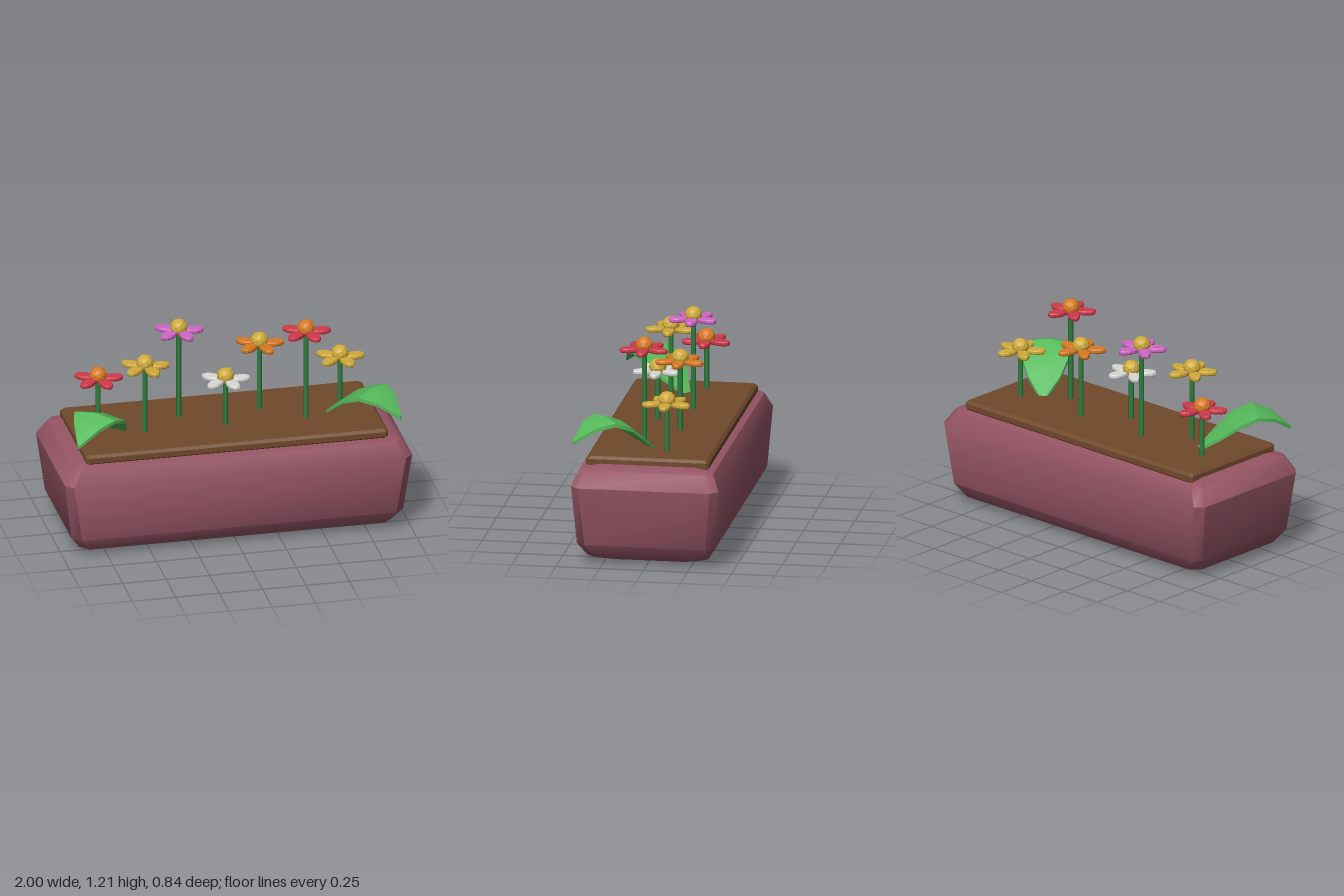
import * as THREE from 'three';
import { toCreasedNormals } from 'three/addons/utils/BufferGeometryUtils.js';

const paint = (name, color, flatShading = false) => {
  const m = new THREE.MeshStandardMaterial({ color, flatShading });
  m.name = name;
  return m;
};

// Closed solid through a list of rings with equal point counts
function loft(rings, crease) {
  const n = rings[0].length, last = (rings.length - 1) * n, index = [];
  for (let r = 0; r < rings.length - 1; r++) {
    for (let i = 0; i < n; i++) {
      const a = r * n + i, b = r * n + (i + 1) % n;
      index.push(a, a + n, b, b, a + n, b + n);
    }
  }
  for (let i = 1; i < n - 1; i++) {
    index.push(0, i, i + 1, last, last + i + 1, last + i);
  }
  const g = new THREE.BufferGeometry();
  g.setAttribute('position', new THREE.Float32BufferAttribute(rings.flat(2), 3));
  g.setIndex(index);
  return toCreasedNormals(g, crease);
}

// Horizontal rectangle with cut corners
const cutRect = ([y, x, z, c]) => [
  [x, y, -z + c], [x, y, z - c], [x - c, y, z], [-x + c, y, z],
  [-x, y, z - c], [-x, y, -z + c], [-x + c, y, -z], [x - c, y, -z],
];

export function createModel() {
  const group = new THREE.Group();
  group.name = 'flowerBox';
  const mats = {
    pot: paint('plum clay', 0x965565),
    soil: paint('brown soil', 0x70492b),
    stem: paint('stem green', 0x2f8040),
    leaf: paint('leaf green', 0x55b95a),
    red: paint('red', 0xd03a4c, true),
    yellow: paint('yellow', 0xd0ab3a, true),
    pink: paint('pink', 0xd066c4, true),
    white: paint('white', 0xd8d8d4, true),
    orange: paint('orange', 0xd97a22, true),
  };
  const add = (parent, name, geometry, material) => {
    const mesh = new THREE.Mesh(geometry, material);
    mesh.name = name;
    parent.add(mesh);
    return mesh;
  };

  // Planter: height, half width, half depth, corner cut
  add(group, 'planter', loft([
    [0, 0.78, 0.25, 0.05], [0.04, 0.9, 0.345, 0.05], [0.12, 0.955, 0.395, 0.05],
    [0.46, 1, 0.42, 0.045], [0.55, 0.94, 0.38, 0.04], [0.575, 0.87, 0.3, 0.03],
  ].map(cutRect), 0.7), mats.pot);

  // Soil slab with softened edges
  add(group, 'soil', loft([
    [0.555, 0.855, 0.335, 0.012], [0.57, 0.87, 0.35, 0.015],
    [0.6, 0.87, 0.35, 0.015], [0.615, 0.855, 0.335, 0.012],
  ].map(cutRect), 0.5), mats.soil);

  // Petal lying flat and pointing along +x
  const half = [[0.02, 0.012], [0.06, 0.028], [0.095, 0.031], [0.12, 0.024], [0.138, 0.01]];
  const outline = [...half, ...half.map(([x, w]) => [x, -w]).reverse()];
  const petal = new THREE.ExtrudeGeometry(
    new THREE.Shape(outline.map(([x, y]) => new THREE.Vector2(x, y))),
    { depth: 0.012, bevelThickness: 0.007, bevelSize: 0.004, bevelOffset: -0.002, bevelSegments: 1 });
  petal.translate(0, 0, -0.006).rotateX(-Math.PI / 2);
  const centre = new THREE.IcosahedronGeometry(0.05, 1);

  // Flowers in a zigzag row: petal colour, centre colour
  const colours = [['red', 'orange'], ['yellow', 'yellow'], ['pink', 'yellow'], ['white', 'yellow'],
    ['orange', 'yellow'], ['red', 'orange'], ['yellow', 'yellow']];
  colours.forEach(([petals, heart], i) => {
    const flower = new THREE.Group();
    flower.name = 'flower';
    flower.position.set(-0.706 + i * 0.232, 0, i % 2 ? 0.083 : -0.083);
    const y = 0.89 + (i % 3) * 0.125;
    const height = y - 0.59;
    add(flower, 'stem', new THREE.CylinderGeometry(0.015, 0.015, height, 6), mats.stem)
      .position.y = 0.59 + height / 2;
    for (let k = 0; k < 5; k++) {
      const p = add(flower, 'petal', petal, mats[petals]);
      p.position.y = y;
      p.rotation.y = k * Math.PI * 2 / 5;
    }
    add(flower, 'flowerCentre', centre, mats[heart]).position.y = y + 0.024;
    group.add(flower);
  });

  // Arched leaf: distance along, height, half width
  const leaf = loft([
    [0, 0.61, 0.015], [0.11, 0.705, 0.09], [0.22, 0.795, 0.135],
    [0.33, 0.838, 0.13], [0.43, 0.805, 0.08], [0.53, 0.718, 0.006],
  ].map(([z, y, w]) => {
    const t = 0.02, edge = y - w * 0.15;
    return [[-w, edge, z], [0, y, z], [w, edge, z], [w, edge - t, z], [0, y - t, z], [-w, edge - t, z]];
  }), 0.6);
  for (const side of [-1, 1]) {
    const mesh = add(group, side > 0 ? 'leftLeaf' : 'rightLeaf', leaf, mats.leaf);
    mesh.position.set(side * 0.59, 0, 0);
    mesh.rotation.y = side * 0.69;
  }
  return group;
}
